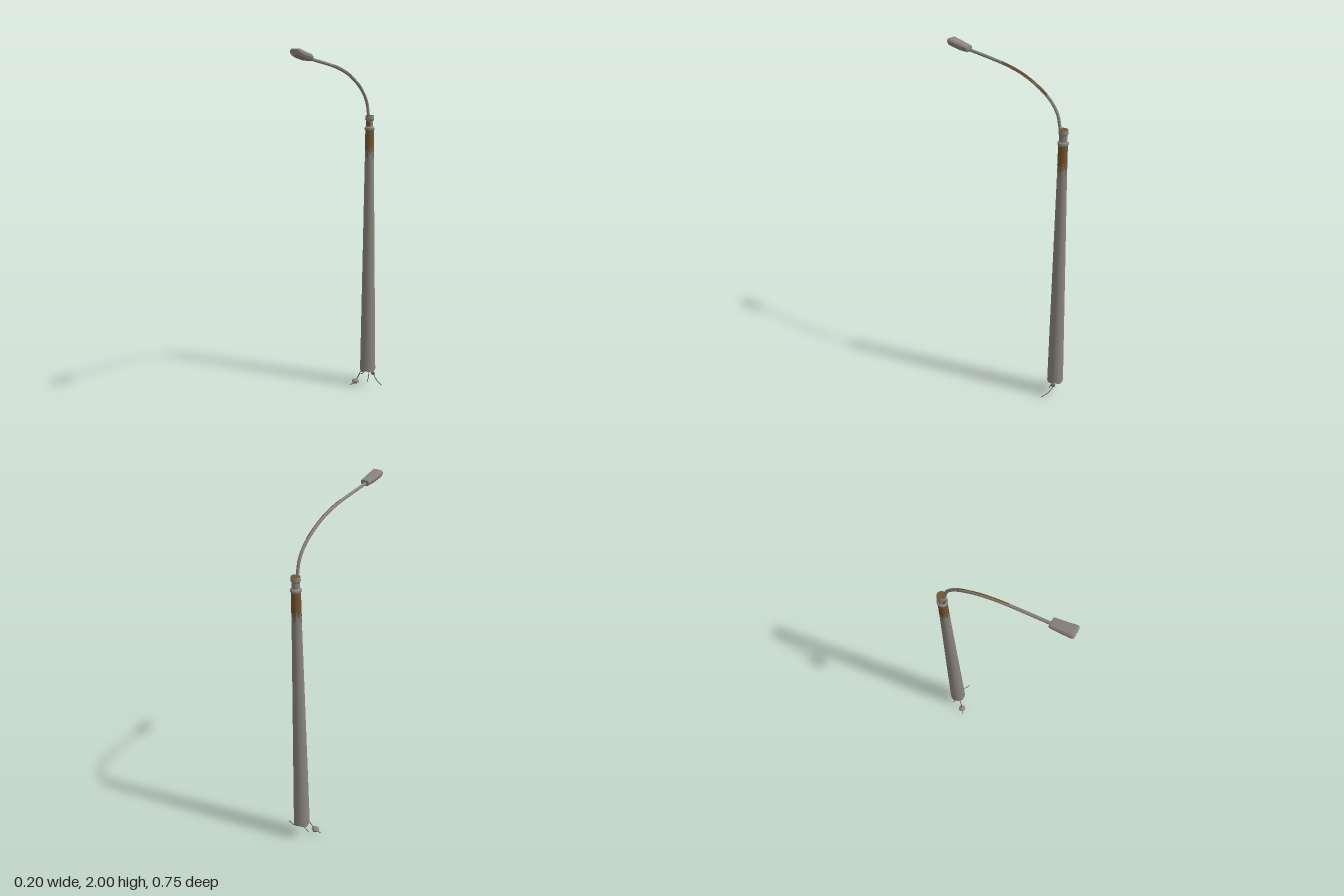
import * as THREE from 'three';

const mat = (name, color, side = THREE.FrontSide) => {
  const m = new THREE.MeshStandardMaterial({ color, side });
  m.name = name;
  return m;
};

export function createModel() {
  const model = new THREE.Group();
  model.name = 'brokenStreetLamp';
  const grey = mat('weatheredGrey', 0x8b867d, THREE.DoubleSide);
  const rust = mat('rustBrown', 0x735530, THREE.DoubleSide);
  const dark = mat('darkConcrete', 0x65625c);
  const wire = mat('darkRebar', 0x55504a);
  const PX = -0.017, PZ = -0.328, SIDES = 18;

  const add = (name, geo, material, parent = model) => {
    const mesh = new THREE.Mesh(geo, material);
    mesh.name = name;
    parent.add(mesh);
    return mesh;
  };
  const v = (x, y, z) => new THREE.Vector3(x, y, z);

  // Pole parts are stacked rings around one axis
  const ring = (name, y0, y1, r0, r1, material, open = false) => {
    const m = add(name, new THREE.CylinderGeometry(r1, r0, y1 - y0, SIDES, 1, open), material);
    m.position.set(PX, (y0 + y1) / 2, PZ);
    return m;
  };
  const poleRadius = (y) => THREE.MathUtils.lerp(0.0465, 0.0235, (y - 0.1) / 1.46);

  // Main shaft, with a slightly ragged broken foot
  const shaft = ring('shaft', 0.1, 1.56, 0.0465, 0.0235, grey, true);
  const sp = shaft.geometry.attributes.position;
  for (let i = 0; i < sp.count; i++) {
    if (sp.getY(i) < 0) sp.setY(i, sp.getY(i) + 0.006 * Math.sin((i % (SIDES + 1)) / SIDES * Math.PI * 8));
  }
  shaft.geometry.computeVertexNormals();
  const core = add('brokenCore', new THREE.CylinderGeometry(0.045, 0.038, 0.02, SIDES), dark);
  core.position.set(PX, 0.109, PZ);

  // Collars and neck at the top
  ring('lowerCollarBevel', 1.553, 1.559, 0.0245, 0.029, grey);
  ring('lowerCollar', 1.559, 1.569, 0.029, 0.029, grey);
  ring('lowerCollarTop', 1.569, 1.576, 0.029, 0.021, grey);
  ring('neck', 1.57, 1.615, 0.0205, 0.0205, grey, true);
  ring('upperCollarBevel', 1.608, 1.616, 0.0205, 0.0255, grey);
  ring('upperCollar', 1.616, 1.637, 0.0255, 0.0245, grey);
  ring('capPlate', 1.637, 1.639, 0.023, 0.022, rust);

  // Rust patch on the front of the neck
  const neckRust = add('neckRust',
    new THREE.CylinderGeometry(0.021, 0.021, 0.036, 8, 1, true, -0.8, 1.6), rust);
  neckRust.position.set(PX, 1.592, PZ);

  // Rust skirt running down the shaft in uneven streaks
  const drops = [1.43, 1.38, 1.45, 1.41, 1.47, 1.42, 1.44, 1.39, 1.46];
  const skirtSides = 36;
  const skirtGeo = new THREE.CylinderGeometry(1, 1, 1, skirtSides, 1, true);
  const kp = skirtGeo.attributes.position;
  for (let i = 0; i < kp.count; i++) {
    const col = i % (skirtSides + 1);
    const y = kp.getY(i) > 0 ? 1.554 : drops[col % drops.length];
    const r = poleRadius(y) + 0.0007;
    kp.setXYZ(i, kp.getX(i) * r, y, kp.getZ(i) * r);
  }
  skirtGeo.computeVertexNormals();
  add('shaftRust', skirtGeo, rust).position.set(PX, 0, PZ);

  // Curved arm
  const AX = -0.014;
  const armPoints = [[1.6, -0.315], [1.655, -0.307], [1.71, -0.293], [1.765, -0.257], [1.815, -0.2],
    [1.872, -0.1], [1.906, 0], [1.927, 0.1], [1.944, 0.2], [1.956, 0.27]].map(([y, z]) => v(AX, y, z));
  add('arm', new THREE.TubeGeometry(new THREE.CatmullRomCurve3(armPoints), 48, 0.0082, 10), grey);

  // Rust streak along the top of the arm
  const streak = [[1.794, -0.228], [1.815, -0.2], [1.872, -0.1], [1.906, 0], [1.916, 0.045]]
    .map(([y, z]) => v(AX + 0.0015, y + 0.0028, z - 0.0008));
  add('armRust', new THREE.TubeGeometry(new THREE.CatmullRomCurve3(streak), 24, 0.006, 8), rust);

  // Lamp head lofted from rounded cross-sections: z, half width, bottom, top
  const sections = [[0.25, 0.024, 1.942, 1.97], [0.256, 0.026, 1.94, 1.973], [0.3, 0.029, 1.944, 1.984],
    [0.358, 0.0325, 1.957, 1.999], [0.368, 0.0315, 1.962, 2.0], [0.373, 0.027, 1.971, 1.995]];
  const outline = [[-0.75, 1], [0.75, 1], [1, 0.78], [1, 0.5], [0.75, 0.18], [0.35, 0],
    [-0.35, 0], [-0.75, 0.18], [-1, 0.5], [-1, 0.78]];
  const n = outline.length, pos = [], idx = [];
  for (const [z, w, b, t] of sections) {
    for (const [u, h] of outline) pos.push(-0.0125 + u * w, b + h * (t - b), z);
  }
  for (let s = 0; s < sections.length - 1; s++) {
    for (let i = 0; i < n; i++) {
      const a = s * n + i, b = s * n + (i + 1) % n;
      idx.push(a, a + n, b, b, a + n, b + n);
    }
  }
  const last = (sections.length - 1) * n;
  for (let i = 1; i < n - 1; i++) {
    idx.push(0, i, i + 1, last, last + i + 1, last + i);
  }
  const headGeo = new THREE.BufferGeometry();
  headGeo.setAttribute('position', new THREE.Float32BufferAttribute(pos, 3));
  headGeo.setIndex(idx);
  const flatHead = headGeo.toNonIndexed();
  flatHead.computeVertexNormals();
  add('lampHead', flatHead, grey);

  // Bent reinforcing rods hanging from the foot
  const rods = [
    [[-0.04, 0.115, -0.298], [-0.052, 0.075, -0.288], [-0.067, 0.035, -0.272], [-0.08, 0.018, -0.263], [-0.097, 0.006, -0.254]],
    [[0.005, 0.115, -0.34], [0.02, 0.075, -0.338], [0.05, 0.045, -0.326], [0.098, 0.031, -0.305]],
    [[-0.005, 0.115, -0.322], [-0.003, 0.08, -0.318], [0, 0.055, -0.308], [-0.002, 0.033, -0.298]],
    [[-0.035, 0.115, -0.338], [-0.045, 0.08, -0.336], [-0.056, 0.064, -0.333], [-0.07, 0.058, -0.334]],
  ];
  const rodGroup = new THREE.Group();
  rodGroup.name = 'rods';
  model.add(rodGroup);
  rods.forEach((pts, i) => add('rod' + (i + 1), new THREE.TubeGeometry(
    new THREE.CatmullRomCurve3(pts.map((p) => v(...p))), 14, 0.0022, 6), wire, rodGroup));

  // Lumps of concrete still clinging to the rods
  const lump = (name, x, y, z, rx, ry, rz, material) => {
    const geo = new THREE.IcosahedronGeometry(1, 1);
    const p = geo.attributes.position;
    for (let i = 0; i < p.count; i++) {
      const k = 1 + 0.1 * Math.sin(5 * p.getX(i) + 3 * p.getY(i)) * Math.cos(4 * p.getZ(i));
      p.setXYZ(i, p.getX(i) * k * rx, p.getY(i) * k * ry, p.getZ(i) * k * rz);
    }
    geo.computeVertexNormals();
    add(name, geo, material).position.set(x, y, z);
  };
  lump('largeLump', -0.069, 0.032, -0.269, 0.022, 0.015, 0.021, grey);
  lump('smallLump', 0.016, 0.08, -0.336, 0.012, 0.01, 0.013, dark);

  return model;
}
